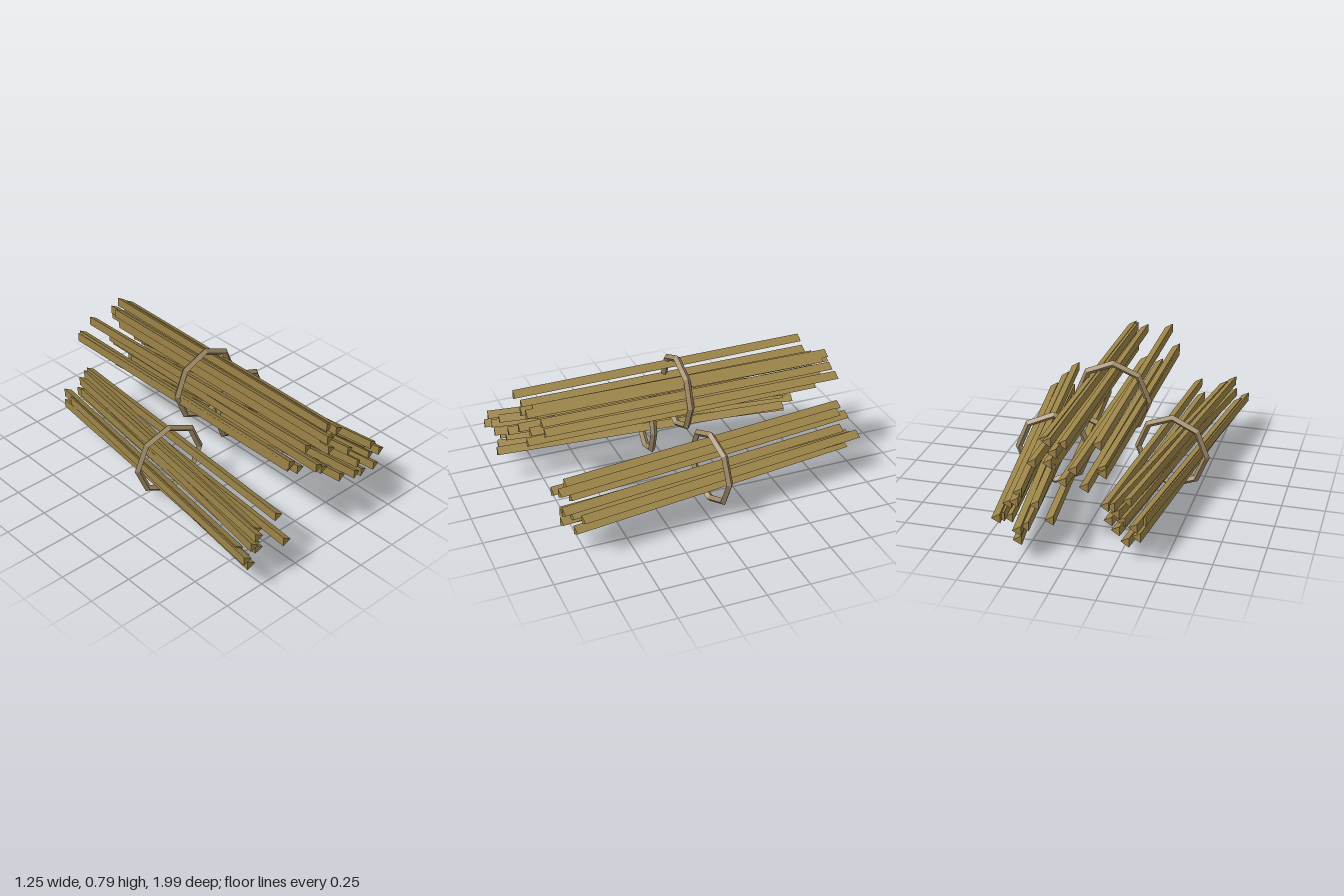
import * as THREE from 'three';

const REED_LENGTH = 1.77;

export function createModel() {
  const reedMat = new THREE.MeshStandardMaterial({ color: 0x9c8448, flatShading: true });
  reedMat.name = 'dry reed';
  const bandMat = new THREE.MeshStandardMaterial({ color: 0x9c8661, flatShading: true });
  bandMat.name = 'tan band';

  // Three-sided stalk with its ridge on +x, running along z
  const reedGeo = new THREE.CylinderGeometry(0.032, 0.032, 1, 3, 1, false, Math.PI / 2).rotateX(Math.PI / 2);
  // Eight-sided binding ring with a diamond section
  const bandGeo = new THREE.TorusGeometry(0.21, 0.021, 4, 8);

  const model = new THREE.Group();
  model.name = 'reedBundles';

  // One ring and its loose stalks; each reed is [x at the front end, height, sideways drift to the front]
  function addBundle(name, x, y, z, turn, reeds) {
    const bundle = new THREE.Group();
    bundle.name = name;

    const band = new THREE.Mesh(bandGeo, bandMat);
    band.name = 'band';
    band.position.set(x, y, z);
    band.rotation.y = turn;
    bundle.add(band);

    reeds.forEach(([frontX, height, drift], i) => {
      const reed = new THREE.Mesh(reedGeo, reedMat);
      reed.name = 'reed';
      // Stalks slip a little forward or back within the bundle
      reed.position.set(frontX - drift / 2, height, z * 0.9 + 0.05 * Math.sin(i * 2.4 + 1));
      reed.rotation.y = Math.atan2(drift, REED_LENGTH);
      reed.scale.z = Math.hypot(drift, REED_LENGTH);
      bundle.add(reed);
    });
    model.add(bundle);
  }

  addBundle('topBundle', 0, 0.566, 0, 0, [
    [-0.12, 0.67, 0.03], [-0.18, 0.565, 0.01], [-0.18, 0.545, 0.015],
    [-0.035, 0.505, -0.02], [-0.08, 0.465, 0.025], [0.035, 0.445, 0],
    [0.09, 0.54, 0], [0.17, 0.565, -0.01], [0.04, 0.65, 0],
    [0.07, 0.63, 0], [0.09, 0.68, -0.015], [0.115, 0.67, -0.02],
    [0.09, 0.58, 0],
  ]);
  addBundle('rightBundle', -0.337, 0.237, 0.068, -0.127, [
    [-0.526, 0.333, -0.23], [-0.48, 0.32, -0.26], [-0.32, 0.323, -0.13],
    [-0.61, 0.229, -0.235], [-0.58, 0.229, -0.23], [-0.537, 0.263, -0.3],
    [-0.5, 0.226, -0.23], [-0.465, 0.2, -0.21], [-0.325, 0.2, -0.135],
    [-0.55, 0.168, -0.185], [-0.532, 0.118, -0.235],
  ]);
  addBundle('leftBundle', 0.337, 0.237, -0.068, 0.127, [
    [0.478, 0.37, 0.21], [0.49, 0.343, 0.22], [0.363, 0.347, 0.21],
    [0.548, 0.296, 0.22], [0.595, 0.252, 0.235], [0.258, 0.242, 0.17],
    [0.39, 0.192, 0.165], [0.477, 0.192, 0.23], [0.51, 0.212, 0.185],
    [0.5, 0.128, 0.25], [0.525, 0.245, 0.175],
  ]);
  return model;
}
